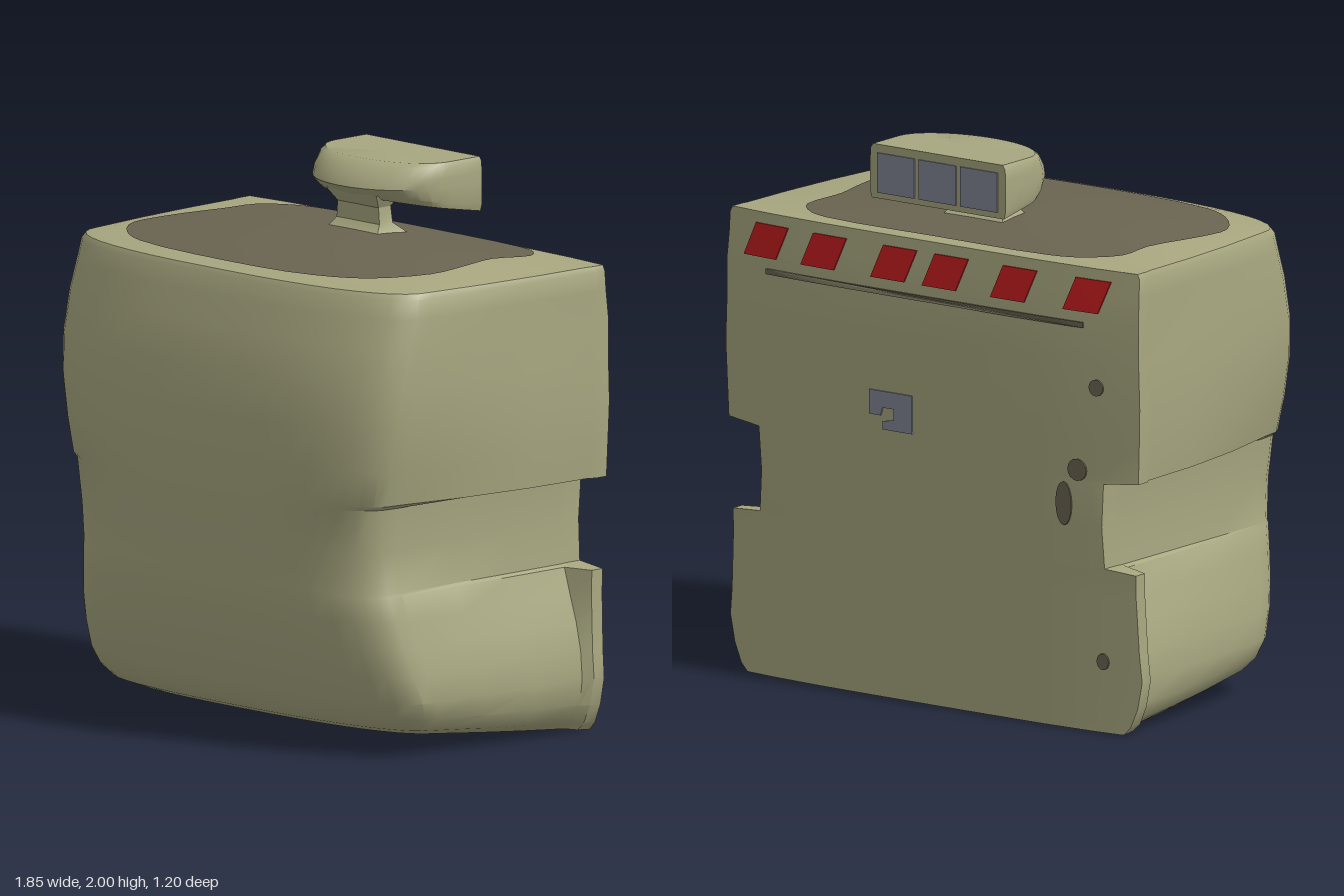
import * as THREE from 'three';
import { toCreasedNormals } from 'three/addons/utils/BufferGeometryUtils.js';

const mat = (name, color) => {
  const m = new THREE.MeshStandardMaterial({ color });
  m.name = name;
  return m;
};

// Closed surface through rings of [x, y, z]; rings rise, points run back, +x, front, -x.
function loft(rings, crease) {
  const n = rings[0].length, idx = [];
  for (let i = 0; i < rings.length - 1; i++)
    for (let j = 0; j < n; j++) {
      const a = i * n + j, b = i * n + (j + 1) % n, c = a + n, d = b + n;
      idx.push(a, c, b, b, c, d);
    }
  const g = new THREE.BufferGeometry();
  g.setAttribute('position', new THREE.Float32BufferAttribute(rings.flat(2), 3));
  g.setIndex(idx);
  g.computeVertexNormals();
  return toCreasedNormals(g, crease);
}

// Half outline (x >= 0, first and last on the middle) mirrored to a full loop
const mirrored = (half) => [...half, ...half.slice(1, -1).reverse().map(([x, z]) => [-x, z])];

// Rounded front corner from (x, z0) to (0, zf)
function corner(x, z0, zf, power, steps) {
  const pts = [];
  for (let k = 0; k <= steps; k++) {
    const a = (k / steps) * Math.PI / 2;
    pts.push([k === steps ? 0 : x * Math.cos(a) ** (2 / power), z0 + (zf - z0) * Math.sin(a) ** (2 / power)]);
  }
  return pts;
}

// Slightly bulging back face and domed top
const backEdge = (y) => -0.54 - 0.025 * Math.min(1, y / 1.2) + Math.max(0, y - 1.5) * 0.08;
const backZ = (x, y) => backEdge(y) - 0.03 * Math.max(0, 1 - (x / 0.92) ** 4);
const domeY = (x, z) => 1.69 + 0.05 * Math.max(0, 1 - (x / 0.9) ** 2) * Math.max(0, 1 - ((z + 0.05) / 0.53) ** 2);

// Body outline at one height
function bodyOutline(y, flange, side, frontSide, zf) {
  const zb = backEdge(y), z0 = zf - 0.25;
  const half = [0, 0.25, 0.5, 0.72].map((x) => [x, backZ(x, y)]);
  half.push([flange, backZ(flange, y)], [flange, zb + 0.05], [side, zb + 0.08]);
  for (const t of [0.33, 0.67])
    half.push([side + (frontSide - side) * t * t, zb + 0.08 + (z0 - zb - 0.08) * t]);
  half.push(...corner(frontSide, z0, zf, 2.6, 10));
  return mirrored(half);
}

function bodyGeometry() {
  // height, back flange half width, side half width, half width near front, front z
  const rows = [
    [0.0, 0.84, 0.80, 0.74, 0.36], [0.03, 0.87, 0.84, 0.79, 0.41], [0.10, 0.90, 0.88, 0.83, 0.44],
    [0.20, 0.92, 0.89, 0.85, 0.465], [0.30, 0.91, 0.88, 0.84, 0.50], [0.40, 0.905, 0.855, 0.82, 0.53],
    [0.50, 0.90, 0.82, 0.80, 0.55], [0.59, 0.90, 0.79, 0.78, 0.567], [0.60, 0.77, 0.775, 0.775, 0.567],
    [0.75, 0.76, 0.765, 0.765, 0.587], [0.91, 0.77, 0.78, 0.78, 0.597], [0.925, 0.915, 0.90, 0.80, 0.598],
    [1.05, 0.92, 0.91, 0.83, 0.60], [1.2, 0.925, 0.915, 0.855, 0.60], [1.35, 0.92, 0.915, 0.87, 0.582],
    [1.5, 0.92, 0.91, 0.87, 0.55], [1.6, 0.915, 0.91, 0.87, 0.515], [1.67, 0.915, 0.91, 0.865, 0.497],
    [1.69, 0.905, 0.90, 0.855, 0.485],
  ];
  const rings = rows.map(([y, ...r]) => bodyOutline(y, ...r).map(([x, z]) =>
    [x, y + 0.08 * Math.max(0, 1 - y / 0.2) * (z + 0.55) / 0.9, z]));
  const bottom = rings[0].map(() => [0, 0.04, -0.1]);
  const rim = rings[rings.length - 1];
  for (const s of [0.93, 0.8, 0.6, 0.4, 0.2, 0])
    rings.push(rim.map(([x, , z]) => {
      const px = x * s, pz = -0.05 + (z + 0.05) * s;
      return [px, domeY(px, pz), pz];
    }));
  return loft([bottom, ...rings], 0.6);
}

// Dark patch that follows the dome
function padGeometry() {
  const outline = new THREE.CatmullRomCurve3([
    [0, -0.545], [0.5, -0.535], [0.6, -0.5], [0.67, -0.42], [0.65, -0.25], [0.68, -0.1], [0.7, 0.1],
    [0.6, 0.3], [0.4, 0.39], [0, 0.42], [-0.5, 0.38], [-0.65, 0.3], [-0.77, 0.15], [-0.77, 0],
    [-0.72, -0.25], [-0.72, -0.4], [-0.62, -0.5], [-0.5, -0.535],
  ].map(([x, z]) => new THREE.Vector3(x, 0, z)), true).getPoints(54).slice(0, -1);
  return loft([1, 0.8, 0.6, 0.4, 0.2, 0].map((s) => outline.map((p) => {
    const x = p.x * s, z = -0.05 + (p.z + 0.05) * s;
    return [x, domeY(x, z) + 0.006, z];
  })), 0.6);
}

// Half-round head with a bottom that slopes up to the front
function headGeometry() {
  const layer = (y, w, zf, slope = 0) => mirrored([[0, -0.535], [0.15, -0.535], [w, -0.535], [w, -0.45],
    ...corner(w, -0.38, zf, 2, 9)]).map(([x, z]) => [x, y + slope * (z + 0.535), z]);
  const flat = (y) => layer(y, 0.3, -0.2).map(() => [0, y, -0.4]);
  return loft([flat(1.825), layer(1.803, 0.295, -0.2, 0.18), layer(1.83, 0.303, -0.16, 0.15),
    layer(1.91, 0.303, -0.12), layer(1.945, 0.303, -0.135), layer(1.985, 0.3, -0.18),
    layer(2.0, 0.29, -0.21), flat(2.0)], 0.6);
}

// Flared neck
function neckGeometry() {
  return loft([[1.70, 0.15, -0.36, -0.12], [1.74, 0.125, -0.32, -0.19], [1.77, 0.11, -0.28, -0.215],
    [1.83, 0.105, -0.275, -0.215], [1.88, 0.13, -0.31, -0.18]].map(([y, w, zb, zf]) =>
    [[w, y, zb], [w, y, zf], [-w, y, zf], [-w, y, zb]]), 0.5);
}

// Thin plate hugging the back face
function backPlate(shape, thick = 0.006) {
  const g = new THREE.ExtrudeGeometry(shape, { depth: thick, bevelEnabled: false, curveSegments: 8 });
  const p = g.attributes.position;
  for (let i = 0; i < p.count; i++)
    p.setZ(i, backZ(p.getX(i), p.getY(i)) - thick + p.getZ(i));
  g.computeVertexNormals();
  return g;
}

const polygon = (pts) => new THREE.Shape(pts.map(([x, y]) => new THREE.Vector2(x, y)));

export function createModel() {
  const olive = mat('olive shell', 0xa8a780);
  const dark = mat('dark brown', 0x6a6451);
  const red = mat('warning red', 0xc01c1e);
  const steel = mat('blue grey', 0x828896);

  const model = new THREE.Group();
  model.name = 'model';
  const add = (name, geometry, material) => {
    const m = new THREE.Mesh(geometry, material);
    m.name = name;
    model.add(m);
    return m;
  };

  add('body', bodyGeometry(), olive);
  add('topPad', padGeometry(), dark);
  add('neck', neckGeometry(), olive);
  add('head', headGeometry(), olive);

  // Three panes on the back of the head
  for (const x of [-0.185, 0, 0.185])
    add('pane', new THREE.BoxGeometry(0.165, 0.145, 0.008), steel).position.set(x, 1.897, -0.536);

  // Slanted stripes on the upper back band
  for (const x of [0.735, 0.47, 0.155, -0.075, -0.38, -0.7])
    add('stripe', backPlate(polygon([[x - 0.05, 1.53], [x + 0.1, 1.53], [x + 0.05, 1.65], [x - 0.1, 1.65]])), red);

  // Seam below the band
  const seam = [];
  for (let i = 0; i <= 10; i++) seam.push([-0.69 + i * 0.142, 1.472]);
  add('seam', backPlate(polygon([...seam, ...seam.map(([x]) => [x, 1.492]).reverse()])), dark);

  // Latch with a slot
  add('latch', backPlate(polygon([[0.07, 0.98], [0.2, 0.98], [0.2, 1.01], [0.15, 1.02], [0.15, 1.06],
    [0.2, 1.06], [0.21, 1.03], [0.26, 1.03], [0.26, 1.12], [0.07, 1.12]])), steel);

  // Small marks near the edge
  for (const [x, y, rx, ry] of [[-0.745, 1.26, 0.03, 0.03], [-0.66, 0.95, 0.04, 0.04],
    [-0.6, 0.82, 0.034, 0.08], [-0.76, 0.26, 0.025, 0.03]])
    add('mark', backPlate(new THREE.Shape().absellipse(x, y, rx, ry, 0, Math.PI * 2)), dark);

  return model;
}
